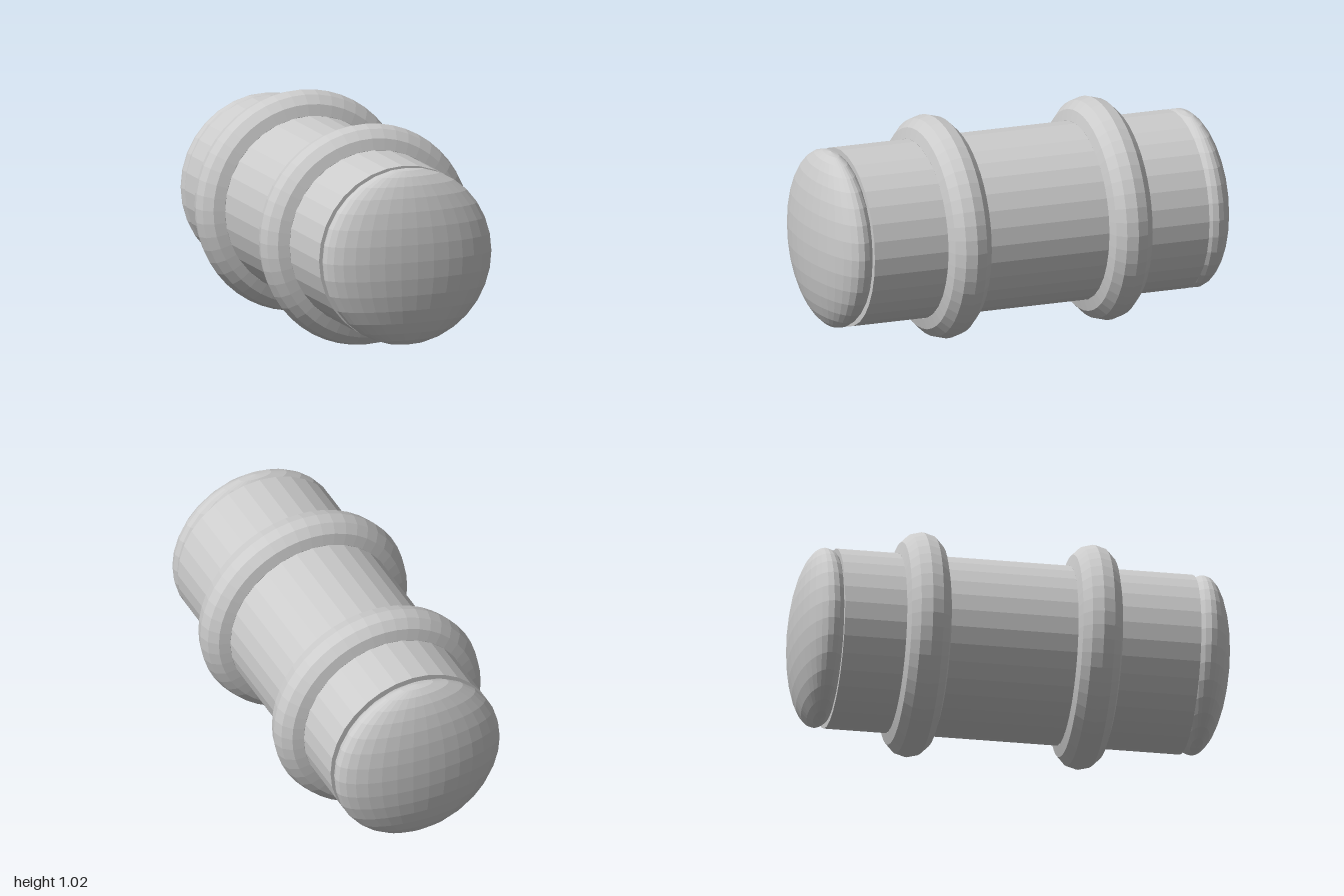
import * as THREE from 'three';

const RADIUS = 0.408;
const AXIS_HEIGHT = 0.515;

export function createModel() {
  const model = new THREE.Group();
  model.name = 'ringedBarrel';
  const material = new THREE.MeshStandardMaterial({ color: 0xcccccc, flatShading: true });

  const addPart = (name, geometry, z) => {
    const mesh = new THREE.Mesh(geometry, material);
    mesh.name = name;
    mesh.position.set(0, AXIS_HEIGHT, z);
    model.add(mesh);
  };

  // Main barrel lying along z
  const barrel = new THREE.CylinderGeometry(RADIUS, RADIUS, RADIUS * 4, 32);
  addPart('barrel', barrel.rotateX(Math.PI / 2), 0);

  // Raised rings around the barrel
  const ring = new THREE.TorusGeometry(RADIUS, RADIUS / 4, 12, 48);
  addPart('frontRing', ring, 0.355);
  addPart('backRing', ring, -0.43);

  // Flattened domes closing both ends
  const dome = new THREE.SphereGeometry(RADIUS, 32, 16).scale(1, 1, 1 / 3);
  addPart('frontDome', dome, 0.864);
  addPart('backDome', dome, -0.864);

  return model;
}
